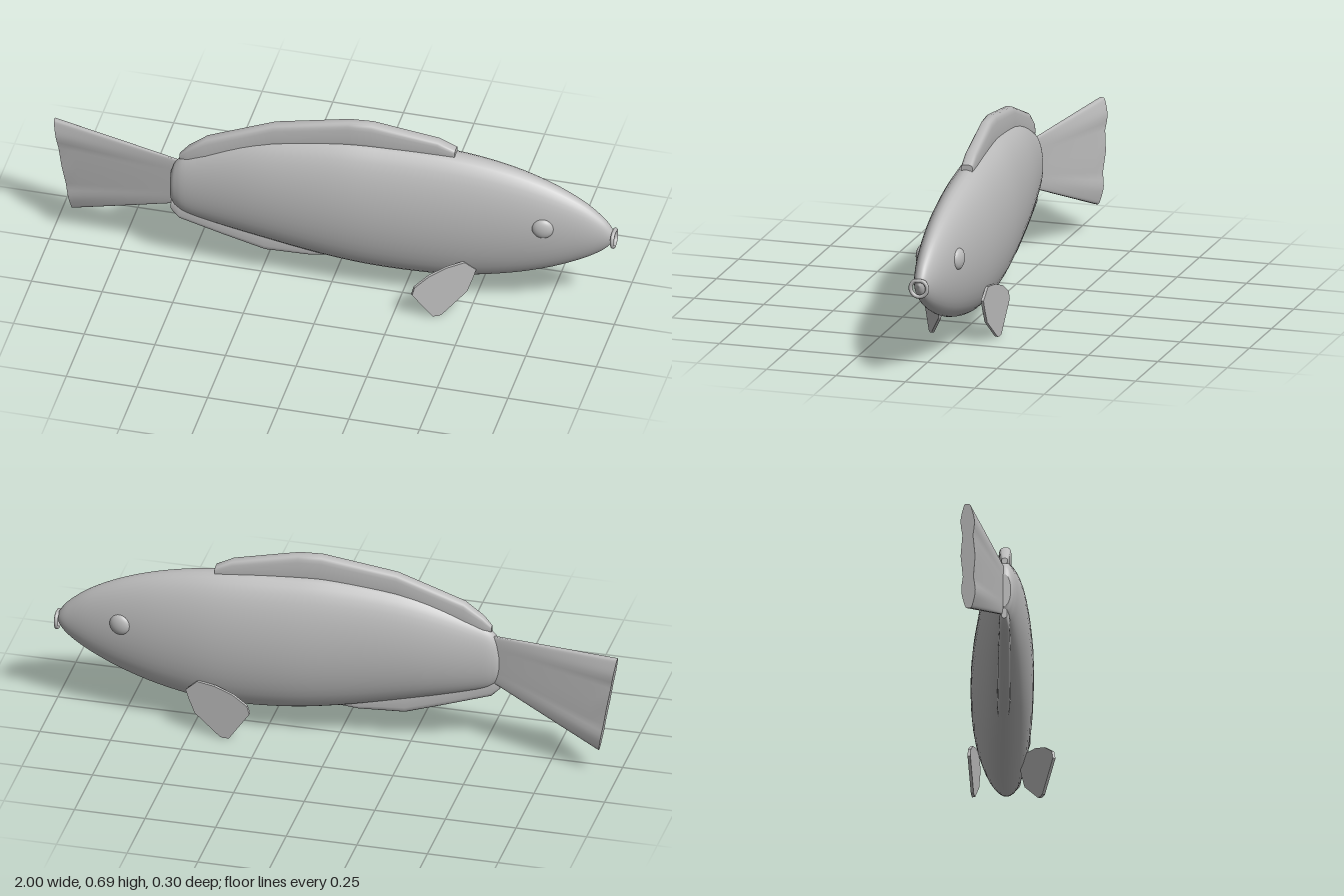
import * as THREE from 'three';

// Closed tube through rings (listed along +x, points running from +y towards +z), with flat end caps
function loft(rings) {
  const n = rings[0].length, pos = rings.flat(2), idx = [];
  for (let i = 0; i < rings.length - 1; i++) {
    for (let j = 0; j < n; j++) {
      const a = i * n + j, b = i * n + (j + 1) % n;
      idx.push(a, b, a + n, b, b + n, a + n);
    }
  }
  for (const [ring, front] of [[rings[0], false], [rings[rings.length - 1], true]]) {
    const start = pos.length / 3;
    pos.push(...ring.flat());
    const c = [0, 1, 2].map(k => ring.reduce((s, p) => s + p[k], 0) / n);
    pos.push(...c);
    for (let j = 0; j < n; j++) {
      const a = start + j, b = start + (j + 1) % n;
      if (front) idx.push(a, b, start + n); else idx.push(b, a, start + n);
    }
  }
  const g = new THREE.BufferGeometry();
  g.setAttribute('position', new THREE.Float32BufferAttribute(pos, 3));
  g.setIndex(idx);
  g.computeVertexNormals();
  return g;
}

// One cross-section; a power below 1 makes it boxier
function section(x, top, bottom, zc, hw, n, power = 1) {
  const bend = v => Math.sign(v) * Math.pow(Math.abs(v), power);
  return Array.from({ length: n }, (_, j) => {
    const a = j / n * Math.PI * 2;
    return [x, (top + bottom) / 2 + (top - bottom) / 2 * bend(Math.cos(a)), zc + hw * bend(Math.sin(a))];
  });
}

export function createModel() {
  const model = new THREE.Group();
  const grey = new THREE.MeshStandardMaterial({ color: 0xbcbcbc });
  grey.name = 'plain grey';
  const add = (name, geometry, x = 0, y = 0, z = 0) => {
    const m = new THREE.Mesh(geometry, grey);
    m.name = name;
    m.position.set(x, y, z);
    model.add(m);
    return m;
  };

  // Body: x, top, bottom, centre z, half width
  const stations = [
    [-0.56, 0.40, 0.28, 0.031, 0.022], [-0.54, 0.445, 0.25, 0.030, 0.034], [-0.48, 0.485, 0.22, 0.027, 0.048],
    [-0.26, 0.57, 0.17, 0.012, 0.081], [0, 0.61, 0.117, -0.007, 0.102], [0.2, 0.613, 0.094, -0.023, 0.109],
    [0.42, 0.603, 0.094, -0.037, 0.105], [0.6, 0.575, 0.125, -0.043, 0.091], [0.75, 0.53, 0.172, -0.045, 0.072],
    [0.87, 0.472, 0.228, -0.046, 0.051], [0.945, 0.415, 0.277, -0.046, 0.032], [0.978, 0.375, 0.313, -0.046, 0.018],
    [0.99, 0.346, 0.342, -0.046, 0.002],
  ];
  const heights = new THREE.CatmullRomCurve3(stations.map(s => new THREE.Vector3(s[0], s[1], s[2])), false, 'catmullrom');
  const widths = new THREE.CatmullRomCurve3(stations.map(s => new THREE.Vector3(s[0], s[3], s[4])), false, 'catmullrom');
  const bodyRings = [];
  for (let i = 0; i <= 60; i++) {
    const h = heights.getPoint(i / 60), w = widths.getPoint(i / 60);
    bodyRings.push(section(h.x, h.y, h.z, w.y, w.z, 40));
  }
  add('body', loft(bodyRings));

  // Long thick fins along the back and belly
  const finRings = list => list.map(s => section(...s, 20, 0.6));
  add('dorsalFin', loft(finRings([
    [-0.53, 0.475, 0.455, 0.030, 0.010], [-0.50, 0.51, 0.45, 0.029, 0.018], [-0.435, 0.56, 0.47, 0.026, 0.022],
    [-0.2, 0.65, 0.56, 0.010, 0.023], [0.06, 0.695, 0.59, -0.009, 0.023], [0.14, 0.695, 0.59, -0.016, 0.023],
    [0.37, 0.65, 0.585, -0.035, 0.023], [0.43, 0.62, 0.585, -0.039, 0.021],
  ])));
  add('analFin', loft(finRings([
    [-0.56, 0.27, 0.235, 0.031, 0.010], [-0.53, 0.27, 0.205, 0.030, 0.018], [-0.38, 0.23, 0.158, 0.020, 0.022],
    [-0.23, 0.2, 0.112, 0.010, 0.023], [-0.07, 0.17, 0.11, -0.002, 0.023], [0.03, 0.15, 0.122, -0.010, 0.016],
  ])));

  // Tail: a rippled wedge that thickens towards a slanted rear edge
  const tailRings = [];
  for (let i = 0; i <= 8; i++) {
    const t = 1 - i / 8;
    const top = 0.44 + 0.025 * t, bottom = 0.265 - 0.165 * t;
    const ring = section(0, top, bottom, 0, 1, 48, 0.45);
    tailRings.push(ring.map(([, y, z]) => {
      const v = (top - y) / (top - bottom);
      const ripple = 1 - 0.3 * t * (0.5 + 0.5 * Math.cos(v * Math.PI * 6));
      const x = -0.52 - t * (0.48 - 0.065 * v);
      return [x, y, 0.027 - 0.096 * t + z * (0.007 + 0.018 * t) * ripple];
    }));
  }
  add('tailFin', loft(tailRings));

  // Pectoral fins: thin plates, the left one swung out and the right one lying along the body
  const outline = [[0.042, 0.205], [0, 0.165], [0.012, 0.13], [0.033, 0.08], [0.125, 0.003], [0.14, 0], [0.158, 0.003],
    [0.232, 0.11], [0.223, 0.14], [0.171, 0.175], [0.107, 0.197]];
  const plate = new THREE.ExtrudeGeometry(new THREE.Shape(outline.map(p => new THREE.Vector2(...p))),
    { depth: 0.01, bevelEnabled: false });
  plate.translate(0, 0, -0.005);
  add('leftPectoralFin', plate, 0.515, 0, 0.022).rotation.y = Math.PI + 0.574;
  add('rightPectoralFin', plate, 0.515, 0, -0.122).rotation.y = Math.PI - 0.09;

  // Eyes: flattened domes
  for (const [name, side] of [['leftEye', 1], ['rightEye', -1]]) {
    const eye = add(name, new THREE.SphereGeometry(0.038, 24, 16), 0.752, 0.38, -0.045 + side * 0.066);
    eye.scale.z = 0.5;
    eye.rotation.y = side * 0.15;
  }

  // Mouth: round lips pinched together at the top
  const lip = [];
  for (let i = 0; i < 24; i++) {
    const a = i / 24 * Math.PI * 2;
    const pinch = Math.max(0, Math.cos(a)) ** 12 * 0.004;
    lip.push(new THREE.Vector3(0.988, 0.335 + Math.cos(a) * (0.03 - pinch), -0.045 + Math.sin(a) * 0.03));
  }
  add('lips', new THREE.TubeGeometry(new THREE.CatmullRomCurve3(lip, true), 48, 0.007, 10, true));

  return model;
}
